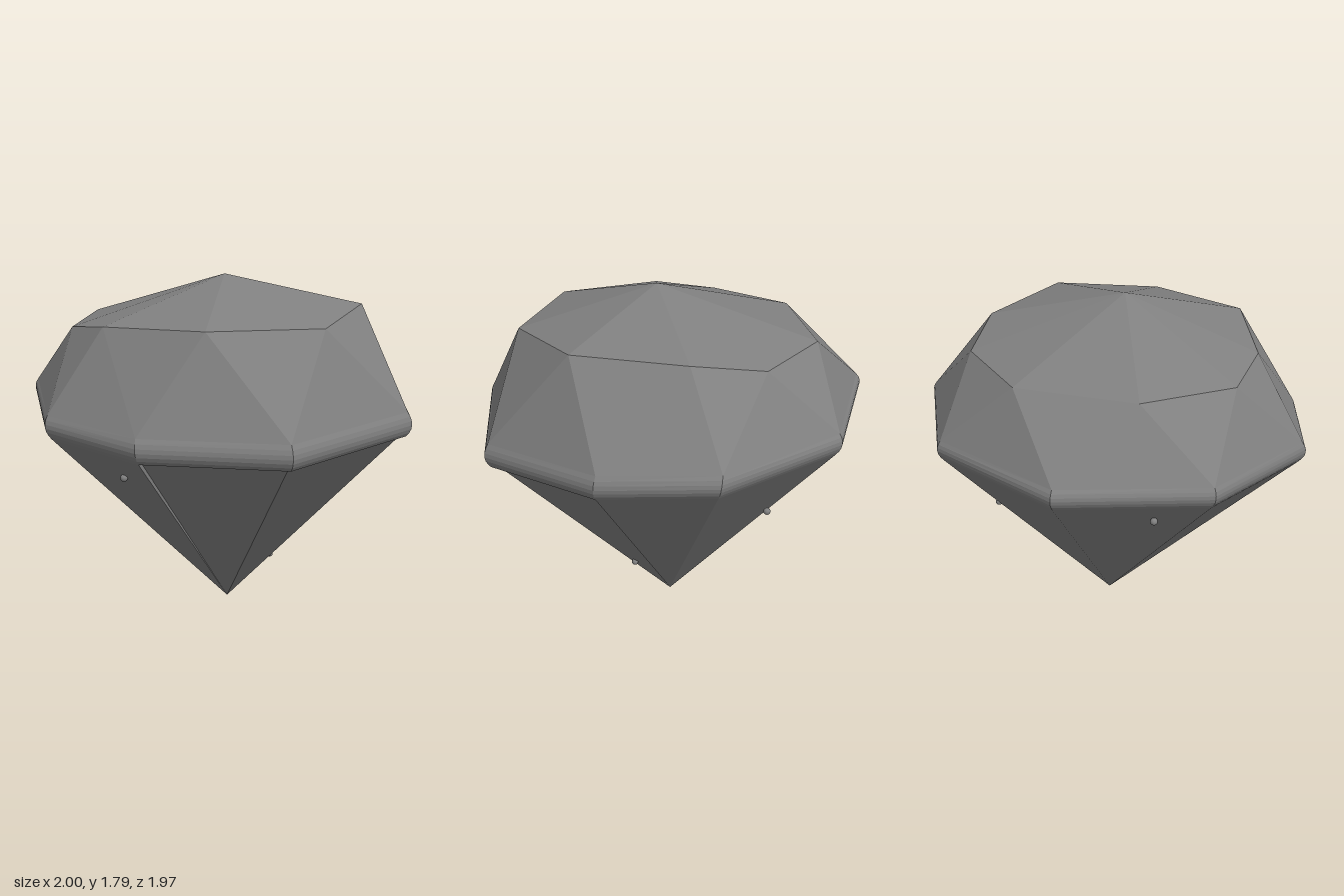
import * as THREE from 'three';

const V = (x, y, z) => new THREE.Vector3(x, y, z);

// Girdle corners and crown corners, running from the back round past +x
const girdle = [
  [0.02, 1.21, -0.99], [0.69, 1.2, -0.68], [1.0, 1.19, -0.04],
  [0.86, 1.15, 0.5], [0.38, 1.1, 0.98], [-0.43, 1.08, 0.96],
  [-0.89, 1.09, 0.45], [-1.0, 1.12, -0.09], [-0.66, 1.17, -0.72],
].map(p => V(...p));
const crownRing = [
  [0.3, 1.565, -0.65], [0.64, 1.57, -0.32], [0.67, 1.63, 0.04],
  [0.48, 1.64, 0.56], [-0.04, 1.59, 0.78], [-0.55, 1.6, 0.53],
  [-0.72, 1.58, 0.0], [-0.67, 1.54, -0.33], [-0.29, 1.56, -0.65],
].map(p => V(...p));
const apex = V(-0.03, 1.79, 0.09);
const tip = V(0.04, 0, 0.04);
const N = girdle.length;
const next = i => (i + 1) % N;

export function createModel() {
  const group = new THREE.Group();
  const color = 0x808080;
  const material = new THREE.MeshStandardMaterial({ color, flatShading: true, side: THREE.DoubleSide });

  const addFacets = (name, points) => {
    const geometry = new THREE.BufferGeometry().setFromPoints(points);
    geometry.computeVertexNormals();
    const mesh = new THREE.Mesh(geometry, material);
    mesh.name = name;
    group.add(mesh);
  };
  // a, b: upper right and left; c, d: lower right and left
  const quad = (a, b, c, d) => [a, b, d, a, d, c];

  // Rounded girdle: a short curve at each corner from crown to pavilion
  const ROWS = 6;
  const arcs = girdle.map((p, i) => {
    const corner = V(p.x * 1.024, p.y, p.z * 1.024);
    const above = crownRing[i].clone().add(crownRing[(i + N - 1) % N]).multiplyScalar(0.5);
    const start = corner.clone().lerp(above, 0.13);
    const end = corner.clone().lerp(tip, 0.05);
    return new THREE.QuadraticBezierCurve3(start, corner, end).getPoints(ROWS);
  });
  const band = [];
  for (let i = 0; i < N; i++) {
    for (let r = 0; r < ROWS; r++) {
      band.push(...quad(arcs[i][r], arcs[next(i)][r], arcs[i][r + 1], arcs[next(i)][r + 1]));
    }
  }
  addFacets('girdle', band);

  // Crown: alternating triangles below a shallow faceted cap
  const crown = [], cap = [];
  for (let i = 0; i < N; i++) {
    const j = next(i);
    crown.push(crownRing[i], arcs[j][0], arcs[i][0]);
    crown.push(crownRing[i], crownRing[j], arcs[j][0]);
    cap.push(apex, crownRing[j], crownRing[i]);
  }
  addFacets('crown', crown);
  addFacets('crownCap', cap);

  // Pavilion: long facets to the tip, the three front ones set back under a lip
  const bottom = arcs.map(a => a[ROWS]);
  const inner = bottom.map(p => V(p.x * 0.97, p.y, p.z * 0.97));
  const pavilion = [], lip = [];
  for (let i = 0; i < N; i++) {
    const j = next(i);
    const recessed = i >= 3 && i <= 5;
    const ring = recessed ? inner : bottom;
    pavilion.push(ring[i], ring[j], tip);
    if (recessed) lip.push(...quad(bottom[i], bottom[j], inner[i], inner[j]));
  }
  // Narrow walls at both ends of the recess
  lip.push(bottom[3], inner[3], tip, inner[6], bottom[6], tip);
  addFacets('pavilion', pavilion);
  addFacets('frontLip', lip);

  // Small beads on the pavilion
  const beadGeometry = new THREE.SphereGeometry(0.018, 12, 8);
  const beadMaterial = new THREE.MeshStandardMaterial({ color });
  for (const p of [[0.16, 0.28, 0.25], [-0.79, 0.91, 0.23], [0.52, 0.76, -0.38], [-0.38, 1.0, -0.71]]) {
    const bead = new THREE.Mesh(beadGeometry, beadMaterial);
    bead.position.set(...p);
    bead.name = 'bead';
    group.add(bead);
  }
  return group;
}
